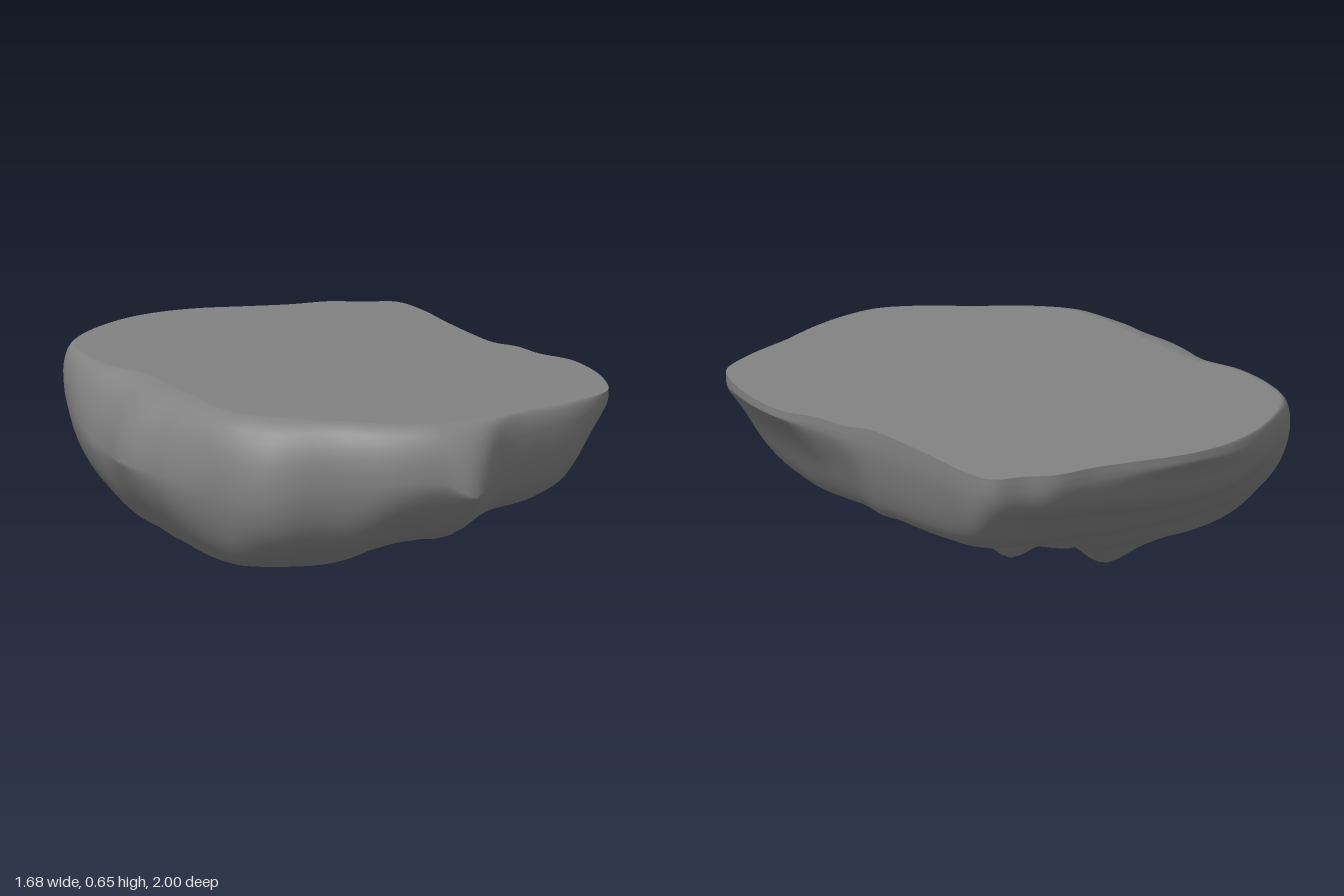
import * as THREE from 'three';

// Plan of the rock, clockwise from the back: [widest x, widest z, flat rim x, flat rim z]
const PLAN = [
  [-0.1, -1], [0.1, -0.96], [0.25, -0.93], [0.4, -0.92], [0.5, -0.87], [0.61, -0.83],
  [0.645, -0.7], [0.65, -0.5], [0.66, -0.3], [0.68, -0.15], [0.73, -0.07], [0.76, 0.06],
  [0.82, 0.17], [0.835, 0.32], [0.81, 0.5], [0.75, 0.65],
  [0.6, 0.75, 0.6, 0.73], [0.4, 0.82, 0.4, 0.79], [0.25, 0.88, 0.27, 0.84],
  [0.1, 1, 0.1, 0.865], [-0.02, 0.97, -0.04, 0.87], [-0.2, 0.9, -0.18, 0.8],
  [-0.37, 0.78, -0.3, 0.71], [-0.58, 0.68, -0.46, 0.6], [-0.7, 0.5, -0.58, 0.48],
  [-0.78, 0.3, -0.62, 0.3], [-0.8, 0.2, -0.62, 0.18], [-0.84, 0.05, -0.63, 0.03],
  [-0.81, -0.15, -0.64, -0.17], [-0.81, -0.37, -0.71, -0.35], [-0.78, -0.53, -0.72, -0.52],
  [-0.72, -0.7, -0.69, -0.68], [-0.6, -0.82, -0.59, -0.81], [-0.42, -0.94, -0.42, -0.93],
  [-0.28, -0.99, -0.28, -0.985],
];

// Lower profiles at even steps of 0.1, across x (-0.9..0.9) and along z (-1..1)
const ACROSS = [0.45, 0.24, 0.14, 0.075, 0.05, 0.035, 0.03, 0.05, 0.1, 0.15, 0.16, 0.19, 0.22, 0.23, 0.24, 0.27, 0.42, 0.55, 0.7];
const ALONG = [0.55, 0.39, 0.36, 0.28, 0.22, 0.14, 0.1, 0.05, 0.03, 0.05, 0.08, 0.09, 0.07, 0.05, 0.06, 0.08, 0.12, 0.14, 0.19, 0.25, 0.34];

const N = 160;
const TOP = 0.645;

function profile(values, half) {
  const curve = new THREE.SplineCurve(values.map((v, i) => new THREE.Vector2(i, v)));
  return (p) => curve.getPoint(THREE.MathUtils.clamp((p + half) / (2 * half), 0, 1)).y;
}
const lowX = profile(ACROSS, 0.9);
const lowZ = profile(ALONG, 1);

const topY = (x) => TOP - 0.012 * x;
const bump = (x, z, cx, cz, r) => Math.exp(-((x - cx) ** 2 + (z - cz) ** 2) / (r * r));

// Height of the lumpy underside
function underY(x, z) {
  const dx = Math.max(0.012, TOP - lowX(x)), dz = Math.max(0.012, TOP - lowZ(z));
  const depth = 0.3 * dx * dz / 0.62 + 0.7 * Math.min(dx, dz);
  const u = x + 0.12 * Math.sin(5 * z + 1), v = z + 0.12 * Math.sin(6 * x);
  const lumps = Math.sin(8 * u + 3 * v + 1) + 0.6 * Math.sin(11 * v - 7 * u) + 0.4 * Math.sin(19 * u + 8 * v);
  const knobs = 0.035 * bump(x, z, -0.25, -0.24, 0.1) + 0.09 * bump(x, z, 0.18, -0.27, 0.09)
    + 0.04 * bump(x, z, 0.21, 0.13, 0.12);
  const y = topY(x) - depth - knobs + 0.016 * lumps * depth;
  return THREE.MathUtils.clamp(y, 0, topY(x) - 0.008);
}

// Closed smooth outline through plan points
function outline(points) {
  const curve = new THREE.CatmullRomCurve3(points.map(([x, z]) => new THREE.Vector3(x, 0, z)), true);
  return Array.from({ length: N }, (_, i) => curve.getPoint(i / N));
}

function geometryFrom(positions, index) {
  const g = new THREE.BufferGeometry();
  g.setAttribute('position', new THREE.Float32BufferAttribute(positions, 3));
  g.setIndex(index);
  g.computeVertexNormals();
  return g;
}

export function createModel() {
  const group = new THREE.Group();
  group.name = 'flatToppedRock';
  const material = new THREE.MeshStandardMaterial({ color: 0x828282 });
  const wide = outline(PLAN);
  const rim = outline(PLAN.map(([x, z, rx = x, rz = z]) => [rx, rz]));

  // The widest line sits lower where the wall bulges out beyond the rim
  const edgeY = wide.map((w, i) => {
    const drop = Math.min(0.25, 0.03 + 1.6 * w.distanceTo(rim[i]));
    return Math.max(topY(w.x) - drop, underY(w.x, w.z));
  });

  // Rings run from the rim over the bulging wall, then round inward under the rock
  const rings = [];
  const WALL = 8, UNDER = 44;
  for (let k = 0; k <= WALL; k++) {
    const a = (k / WALL) * Math.PI / 2;
    rings.push(wide.map((w, i) => {
      const r = rim[i], s = Math.sin(a), y0 = topY(r.x);
      return [r.x + (w.x - r.x) * s, y0 + (edgeY[i] - y0) * (1 - Math.cos(a)), r.z + (w.z - r.z) * s];
    }));
  }
  for (let k = 1; k <= UNDER; k++) {
    const s = 1 - (k / UNDER) ** 1.7;
    const round = Math.sqrt(1 - s ** 9);
    rings.push(wide.map((w, i) => {
      const x = -0.08 + (w.x + 0.08) * s, z = w.z * s;
      return [x, edgeY[i] + (underY(x, z) - edgeY[i]) * round, z];
    }));
  }
  const index = [];
  for (let r = 0; r < rings.length - 1; r++) {
    for (let i = 0; i < N; i++) {
      const j = (i + 1) % N;
      const a = r * N + i, b = r * N + j, c = a + N, d = b + N;
      index.push(a, b, d, a, d, c);
    }
  }
  const body = new THREE.Mesh(geometryFrom(rings.flat(2), index), material);
  body.name = 'rockBody';

  // Flat top with its own normals, so the rim stays sharp
  const cap = [0, topY(0), 0, ...rim.flatMap((p) => [p.x, topY(p.x), p.z])];
  const capIndex = rim.flatMap((_, i) => [0, 1 + (i + 1) % N, 1 + i]);
  const top = new THREE.Mesh(geometryFrom(cap, capIndex), material);
  top.name = 'flatTop';

  group.add(body, top);
  return group;
}
